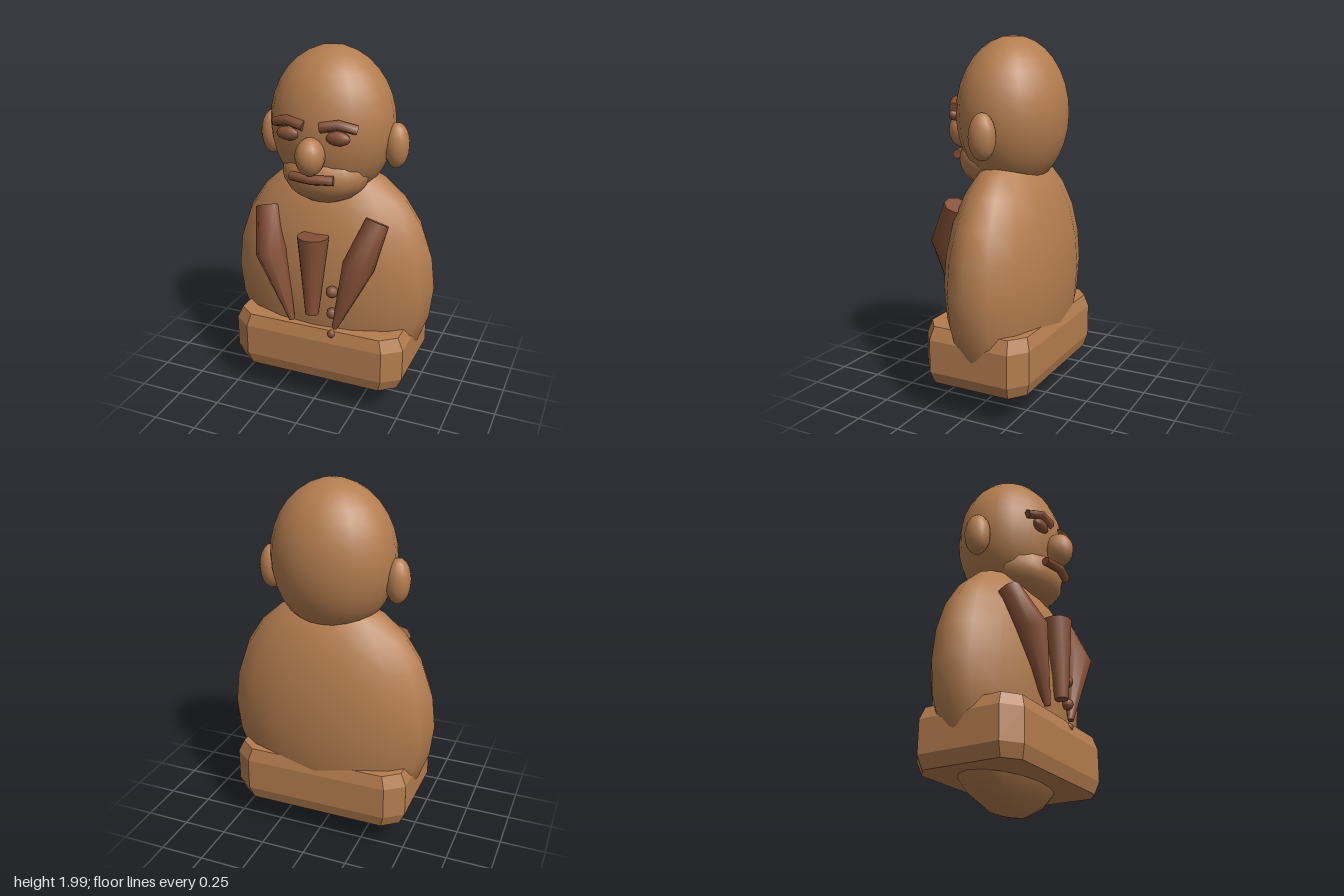
import * as THREE from 'three';

const tan = new THREE.MeshStandardMaterial({ color: 0xb47d4f });
tan.name = 'tan wood';
const brown = new THREE.MeshStandardMaterial({ color: 0x855037 });
brown.name = 'dark brown';

// Capped skin over rings of equal length, running counter-clockwise about their path
function loft(rings, flat = false) {
  const n = rings[0].length;
  const pts = rings.flat();
  const index = [];
  for (let i = 0; i < rings.length - 1; i++) {
    for (let j = 0; j < n; j++) {
      const k = (j + 1) % n;
      const a = i * n + j, b = i * n + k, c = b + n, d = a + n;
      index.push(a, b, c, a, c, d);
    }
  }
  [rings[0], rings[rings.length - 1]].forEach((ring, end) => {
    const s = pts.length;
    pts.push(...ring);
    for (let j = 1; j < n - 1; j++) {
      if (end) index.push(s, s + j, s + j + 1);
      else index.push(s, s + j + 1, s + j);
    }
  });
  let geo = new THREE.BufferGeometry().setFromPoints(pts);
  geo.setIndex(index);
  if (flat) geo = geo.toNonIndexed();
  geo.computeVertexNormals();
  return geo;
}

// Round bar of varying radius through a few points
function bar(points, radii, sides = 8) {
  const p = points.map((q) => new THREE.Vector3(...q));
  const rings = p.map((c, i) => {
    const t = p[Math.min(i + 1, p.length - 1)].clone().sub(p[Math.max(i - 1, 0)]).normalize();
    const u = new THREE.Vector3(0, 0, 1).addScaledVector(t, -t.z).normalize();
    const v = t.clone().cross(u);
    return Array.from({ length: sides }, (_, j) => {
      const a = ((j + 0.5) / sides) * Math.PI * 2;
      return c.clone().addScaledVector(u, radii[i] * Math.cos(a)).addScaledVector(v, radii[i] * Math.sin(a));
    });
  });
  return loft(rings);
}

export function createModel() {
  const model = new THREE.Group();
  model.name = 'figurine';

  const add = (name, geo, mat) => {
    const mesh = new THREE.Mesh(geo, mat);
    mesh.name = name;
    model.add(mesh);
    return mesh;
  };
  const ellipsoid = (name, mat, [x, y, z], [rx, ry, rz], w = 16, h = 12) => {
    const geo = new THREE.SphereGeometry(1, w, h).scale(rx, ry, rz).translate(x, y, z);
    return add(name, geo, mat);
  };

  // Body and head
  ellipsoid('torso', tan, [0, 0.7, -0.055], [0.595, 0.69, 0.3], 16, 12);
  ellipsoid('head', tan, [0, 1.59, -0.037], [0.342, 0.41, 0.296], 20, 16);
  ellipsoid('jaw', tan, [0, 1.345, 0.06], [0.24, 0.165, 0.2], 16, 12);
  ellipsoid('nose', tan, [0, 1.485, 0.275], [0.077, 0.1, 0.085], 14, 10);

  // Paired face parts and lapels
  for (const [side, s] of [['left', 1], ['right', -1]]) {
    ellipsoid(side + 'Ear', tan, [s * 0.357, 1.498, -0.043], [0.068, 0.123, 0.074], 14, 10);
    ellipsoid(side + 'Eye', brown, [s * 0.136, 1.584, 0.235], [0.067, 0.037, 0.032], 14, 8);
    add(side + 'Brow', bar(
      [[s * 0.045, 1.634, 0.25], [s * 0.14, 1.654, 0.24], [s * 0.225, 1.628, 0.2]],
      [0.028, 0.028, 0.026], 6), brown);
    add(side + 'Lapel', bar(
      [[s * 0.32, 1.125, 0.135], [s * 0.255, 0.9, 0.235], [s * 0.128, 0.512, 0.255]],
      [0.066, 0.088, 0.016], 8), brown);
  }

  // Mouth
  add('mouth', bar([[-0.118, 1.363, 0.25], [0, 1.363, 0.278], [0.118, 1.363, 0.25]],
    [0.027, 0.027, 0.027], 6), brown);

  // Tie
  add('tie', bar([[0, 1.037, 0.247], [0, 0.585, 0.27]], [0.086, 0.037], 12), brown);

  // Buttons
  [[0.727, 0.034], [0.597, 0.031], [0.468, 0.027]].forEach(([y, r], i) => {
    ellipsoid('button' + (i + 1), brown, [0.11, y, 0.248], [r, r, r], 10, 8);
  });

  // Chamfered block around the foot of the body
  const octagon = (y, inset) => {
    const x = 0.506 - inset, z = 0.308 - inset * 0.65, cx = 0.1 - inset * 0.4, cz = 0.077 - inset * 0.3;
    return [[x - cx, z], [x, z - cz], [x, cz - z], [x - cx, -z],
      [cx - x, -z], [-x, cz - z], [-x, z - cz], [cx - x, z]]
      .map(([px, pz]) => new THREE.Vector3(px, y, pz - 0.03));
  };
  add('base', loft([octagon(0.17, 0.032), octagon(0.24, 0), octagon(0.42, 0), octagon(0.49, 0.032)], true), tan);

  return model;
}
